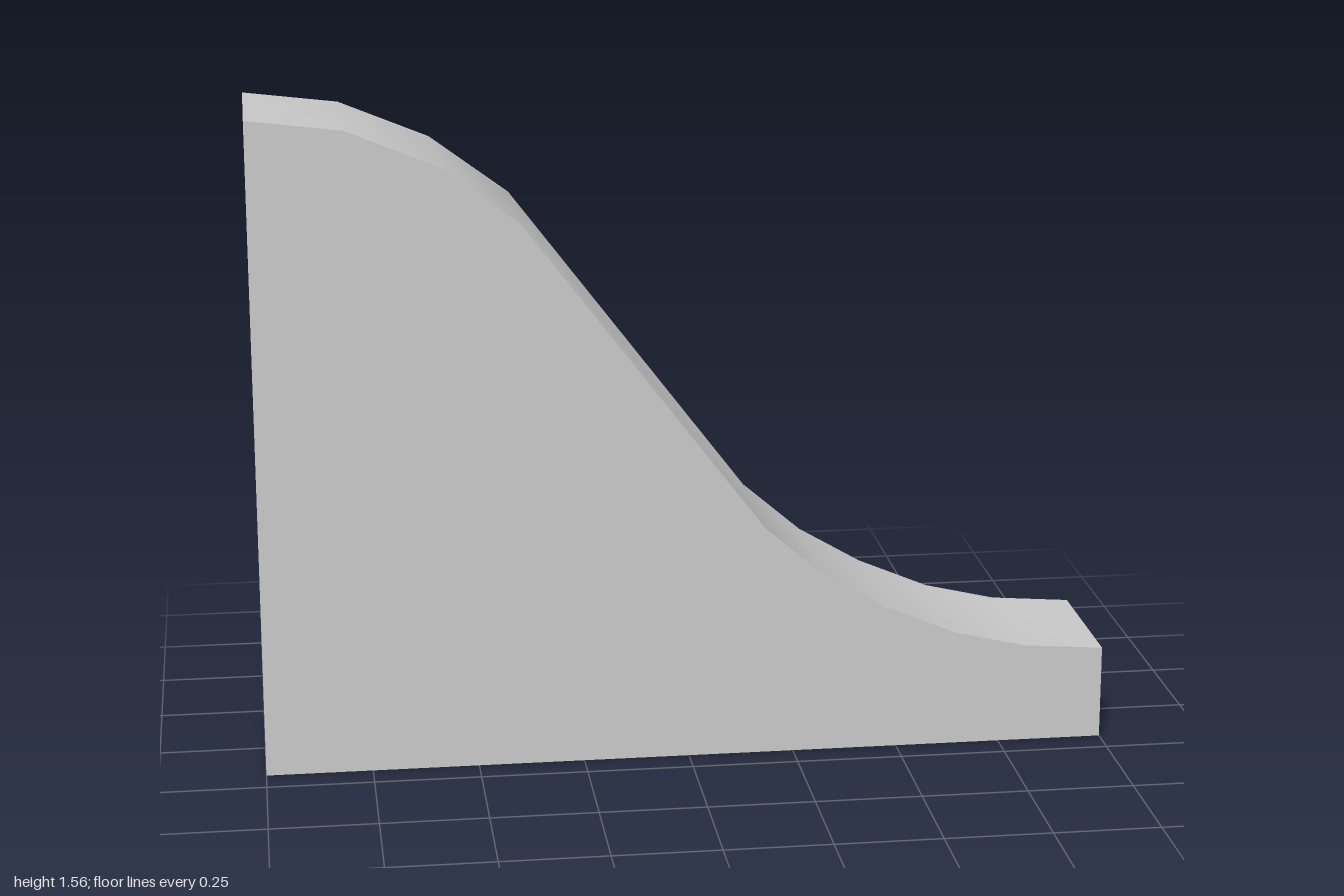
import * as THREE from 'three';
import { toCreasedNormals } from 'three/addons/utils/BufferGeometryUtils.js';

// Top edge of the ramp, from the high end to the low end
const PROFILE = [
  [-1, 1.557], [-0.78, 1.53], [-0.57, 1.443], [-0.385, 1.305], [0.18, 0.56],
  [0.32, 0.44], [0.47, 0.352], [0.64, 0.28], [0.81, 0.24], [1, 0.225],
];
const FRONT = 0.177, WALL = -0.157, BACK = -0.177;

// Height of the ramp at x
function heightAt(x) {
  for (let i = 1; i < PROFILE.length; i++) {
    const [x0, y0] = PROFILE[i - 1], [x1, y1] = PROFILE[i];
    if (x <= x1) return y0 + (y1 - y0) * (x - x0) / (x1 - x0);
  }
  return PROFILE[PROFILE.length - 1][1];
}

// Extrudes an outline in x and y between two z positions
function slab(points, z0, z1) {
  const shape = new THREE.Shape(points.map(([x, y]) => new THREE.Vector2(x, y)));
  const geometry = new THREE.ExtrudeGeometry(shape, { depth: z1 - z0, bevelEnabled: false });
  return geometry.translate(0, 0, z0);
}

export function createModel() {
  const model = new THREE.Group();
  model.name = 'ramp';
  const grey = new THREE.MeshStandardMaterial({ color: 0xcccccc });
  grey.name = 'light grey';

  const add = (name, geometry) => {
    const mesh = new THREE.Mesh(geometry, grey);
    mesh.name = name;
    model.add(mesh);
  };

  // Solid body with a smooth running surface
  add('body', toCreasedNormals(slab([[-1, 0], [1, 0], ...[...PROFILE].reverse()], WALL, FRONT), 0.6));

  // Overhanging lip along the back of the top edge
  const under = PROFILE.map(([x, y]) => [x, y - 0.045]);
  add('lip', slab([...under, ...[...PROFILE].reverse()], BACK, WALL));

  // Vertical ribs on the back wall
  for (let i = 0; i < 6; i++) {
    const x = Math.max(-0.994, Math.min(0.994, 1 - 0.4 * i));
    const a = x - 0.006, b = x + 0.006;
    add('rib', slab([[a, 0], [b, 0], [b, heightAt(b) - 0.055], [a, heightAt(a) - 0.055]], WALL - 0.002, WALL));
  }

  // Slanted panels that follow the slope
  for (let i = 0; i < 10; i++) {
    const a = 0.8 - 0.2 * i, b = a + 0.1;
    const ya = heightAt(a) - 0.06, yb = heightAt(b) - 0.06;
    add('panel', slab([[a, ya - 0.112], [b, yb - 0.112], [b, yb], [a, ya]], WALL - 0.004, WALL));
  }

  return model;
}
